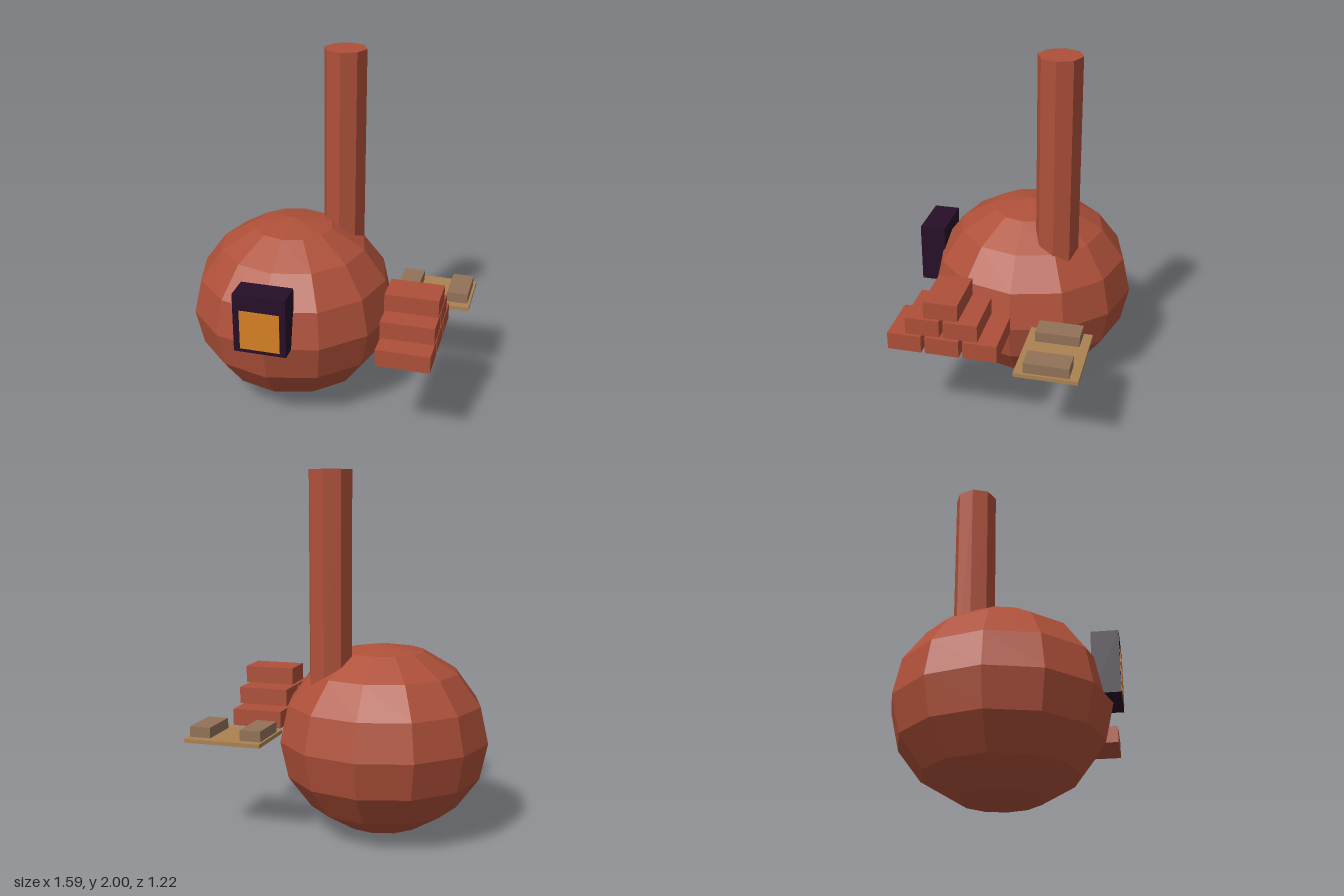
import * as THREE from 'three';

const material = (name, color) => {
  const m = new THREE.MeshStandardMaterial({ color, flatShading: true });
  m.name = name;
  return m;
};

export function createModel() {
  const model = new THREE.Group();
  model.name = 'brickOven';

  const brick = material('brick red', 0xae5039);
  const soot = material('soot black', 0x260f28);
  const fire = material('fire orange', 0xd68024);
  const wood = material('board wood', 0xab8252);
  const crust = material('loaf brown', 0x927258);

  const add = (name, geometry, mat, x, y, z, parent = model) => {
    const mesh = new THREE.Mesh(geometry, mat);
    mesh.name = name;
    mesh.position.set(x, y, z);
    parent.add(mesh);
    return mesh;
  };

  // Slightly squashed round oven body
  const body = new THREE.SphereGeometry(0.586, 12, 8);
  body.scale(1, 0.53 / 0.586, 1);
  add('ovenBody', body, brick, -0.211, 0.53, -0.025);

  // Eight-sided chimney rising from the back of the body
  add('chimney', new THREE.CylinderGeometry(0.12, 0.12, 1.2, 8), brick, 0.035, 1.4, -0.222);

  // Oven mouth with the fire as a thin plate on its front
  add('ovenMouth', new THREE.BoxGeometry(0.292, 0.342, 0.145), soot, -0.21, 0.704, 0.5375);
  add('fireGlow', new THREE.BoxGeometry(0.222, 0.228, 0.006), fire, -0.209, 0.668, 0.61);

  // Stepped stack of loose bricks
  const stack = new THREE.Group();
  stack.name = 'brickStack';
  model.add(stack);
  const brickShape = new THREE.BoxGeometry(0.292, 0.097, 0.185);
  for (let row = 0; row < 3; row++) {
    const count = 3 - row;
    for (let i = 0; i < count; i++) {
      const z = 0.258 + (i - (count - 1) / 2) * 0.206;
      add('looseBrick', brickShape, brick, 0.548, 0.581 + row * 0.109, z, stack);
    }
  }

  // Board carrying two loaves
  const tray = new THREE.Group();
  tray.name = 'breadBoard';
  model.add(tray);
  add('board', new THREE.BoxGeometry(0.44, 0.022, 0.34), wood, 0.572, 0.544, -0.319, tray);
  for (const side of [-1, 1]) {
    add('loaf', new THREE.BoxGeometry(0.12, 0.06, 0.242), crust, 0.571 + side * 0.147, 0.584, -0.319, tray);
  }

  return model;
}
